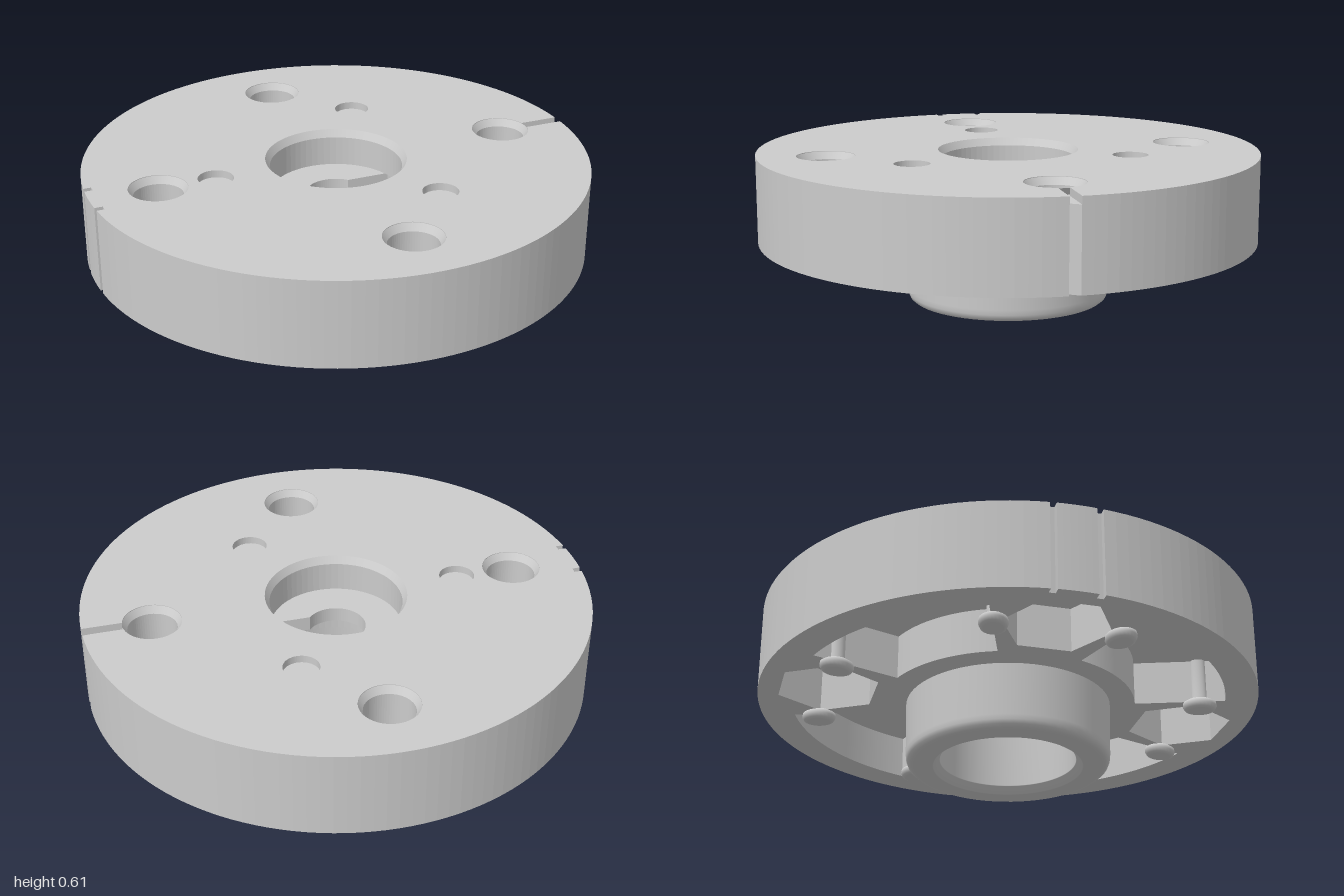
import * as THREE from 'three';

const material = new THREE.MeshStandardMaterial({ color: 0xcccccc, flatShading: true });
const smooth = new THREE.MeshStandardMaterial({ color: 0xcccccc, side: THREE.DoubleSide });
const HOLE_R = 0.73; // distance of the bolt holes from the axis

function circle(x, y, r) {
  const p = new THREE.Path();
  p.absarc(x, y, r, 0, Math.PI * 2, false);
  return p;
}

// Disc edge with a narrow slot at +x and two notches at -x
function outline(withTopSlot) {
  const s = new THREE.Shape();
  const h = 0.022;
  s.moveTo(withTopSlot ? 0.843 : 0.97, h);
  if (withTopSlot) s.lineTo(0.97, h);
  s.absarc(0, 0, 1, h, Math.PI - 0.1, false);
  s.lineTo(-0.965, 0.1);
  s.lineTo(-0.965, 0.075);
  s.absarc(0, 0, 1, Math.PI - 0.075, Math.PI + 0.075, false);
  s.lineTo(-0.965, -0.075);
  s.lineTo(-0.965, -0.1);
  s.absarc(0, 0, 1, Math.PI + 0.1, Math.PI * 2 - h, false);
  s.lineTo(0.97, -h);
  // the top slot opens into the bolt hole
  if (withTopSlot) s.absarc(HOLE_R, 0, 0.115, -0.19, 0.19, true);
  return s;
}

// Round centre hole with a keyway towards +x
function keyhole() {
  const p = new THREE.Path();
  const a = Math.asin(0.08 / 0.118);
  p.absarc(0, 0, 0.118, a, Math.PI * 2 - a, false);
  p.lineTo(0.262, -0.08);
  p.lineTo(0.262, 0.08);
  p.closePath();
  return p;
}

// Four sector pockets and four hexagonal nut pockets
function pockets() {
  const list = [];
  for (let i = 0; i < 4; i++) {
    const axis = i * Math.PI / 2, mid = axis + Math.PI / 4, half = 0.46;
    const sector = new THREE.Path();
    sector.absarc(0, 0, 0.87, mid - half, mid + half, false);
    sector.absarc(0, 0, 0.51, mid + half, mid - half, true);
    sector.closePath();
    const cx = HOLE_R * Math.cos(axis), cy = HOLE_R * Math.sin(axis);
    const hex = new THREE.Path();
    for (let k = 0; k < 6; k++) {
      const a = axis + Math.PI / 2 + k * Math.PI / 3;
      hex[k ? 'lineTo' : 'moveTo'](cx + 0.21 * Math.cos(a), cy + 0.21 * Math.sin(a));
    }
    hex.closePath();
    list.push(sector, hex);
  }
  return list;
}

function boltHoles(r, first = 0) {
  const list = [];
  for (let i = first; i < 4; i++) {
    const a = i * Math.PI / 2;
    list.push(circle(HOLE_R * Math.cos(a), HOLE_R * Math.sin(a), r));
  }
  return list;
}

function layer(name, shape, holes, y0, y1) {
  shape.holes = holes;
  const g = new THREE.ExtrudeGeometry(shape, { depth: y1 - y0, bevelEnabled: false, curveSegments: 32 });
  g.rotateX(-Math.PI / 2);
  g.translate(0, y0, 0);
  const m = new THREE.Mesh(g, material);
  m.name = name;
  return m;
}

function lathe(name, points, segments, mat = smooth) {
  const g = new THREE.LatheGeometry(points.map(([r, y]) => new THREE.Vector2(r, y)), segments);
  const m = new THREE.Mesh(g, mat);
  m.name = name;
  return m;
}

export function createModel() {
  const group = new THREE.Group();

  // Disc, built as a stack of cut-out layers
  const blind = [1, 3, 5].map(k => circle(0.5 * Math.cos(k * Math.PI / 3), 0.5 * Math.sin(k * Math.PI / 3), 0.07));
  group.add(
    layer('pocketLayer', outline(false), [circle(0, 0, 0.27), ...pockets()], 0.26, 0.4),
    layer('keywayPocketLayer', outline(false), [keyhole(), ...pockets()], 0.4, 0.44),
    layer('keywayLayer', outline(false), [keyhole(), ...boltHoles(0.097)], 0.44, 0.46),
    layer('counterboreLayer', outline(false), [circle(0, 0, 0.262), ...boltHoles(0.097)], 0.46, 0.58),
    layer('topLayer', outline(true), [circle(0, 0, 0.28), ...boltHoles(0.115, 1), ...blind], 0.58, 0.61)
  );

  // Chamfers at the top of the centre and bolt holes
  group.add(lathe('centreChamfer', [[0.262, 0.58], [0.28, 0.61]], 64));
  for (let i = 0; i < 4; i++) {
    const a = i * Math.PI / 2;
    const c = lathe('boltHoleChamfer', [[0.097, 0.58], [0.115, 0.608]], 32);
    c.position.set(HOLE_R * Math.cos(a), 0, HOLE_R * Math.sin(a));
    group.add(c);
  }

  // Hollow hub with rounded foot
  group.add(lathe('hub', [
    [0.27, 0.262], [0.27, 0.03], [0.272, 0.028], [0.295, 0.002], [0.3, 0], [0.37, 0],
    [0.387, 0.004], [0.399, 0.014], [0.405, 0.03], [0.406, 0.05], [0.41, 0.262]
  ], 64));

  // Retaining pins with rounded heads beside each nut pocket
  for (let i = 0; i < 4; i++) {
    for (const side of [-1, 1]) {
      const a = i * Math.PI / 2 + side * Math.atan2(0.24, HOLE_R);
      const r = Math.hypot(0.24, HOLE_R);
      const pin = lathe('retainingPin', [
        [0, 0.22], [0.045, 0.22], [0.06, 0.226], [0.068, 0.24], [0.066, 0.255],
        [0.05, 0.265], [0.03, 0.27], [0.03, 0.44]
      ], 24);
      pin.position.set(r * Math.cos(a), 0, r * Math.sin(a));
      pin.rotation.y = -a;
      pin.scale.z = 0.82;
      group.add(pin);
    }
  }
  return group;
}
